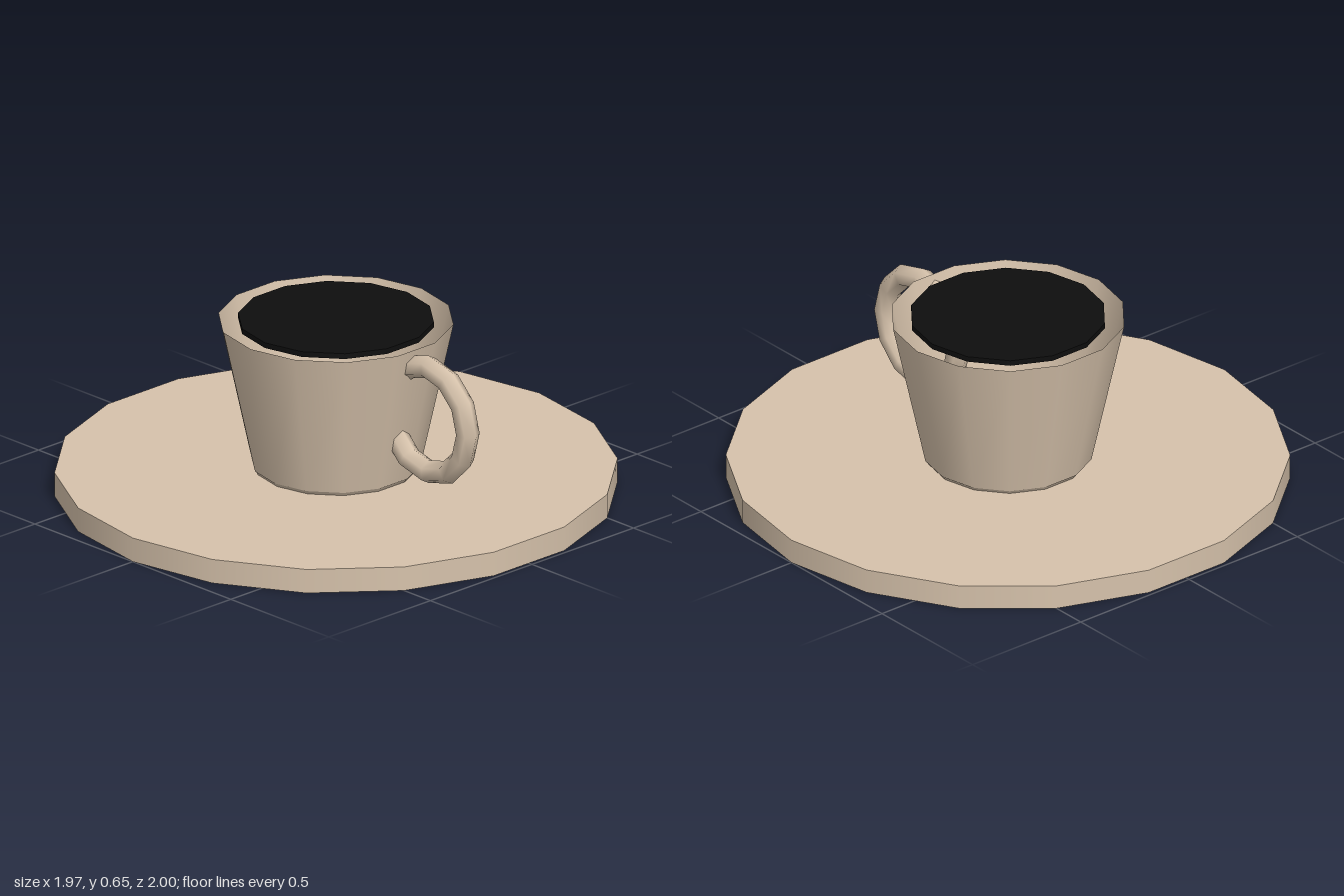
import * as THREE from 'three';

export function createModel() {
  const model = new THREE.Group();
  model.name = 'cupAndSaucer';

  const ceramic = new THREE.MeshStandardMaterial({ color: 0xd6c2ab, side: THREE.DoubleSide });
  ceramic.name = 'beige ceramic';
  const coffee = new THREE.MeshStandardMaterial({ color: 0x0e0e0e });
  coffee.name = 'black coffee';

  const add = (name, geometry, material, x, y) => {
    const mesh = new THREE.Mesh(geometry, material);
    mesh.name = name;
    mesh.position.set(x, y, 0);
    model.add(mesh);
  };

  // Upright round part between two heights
  const round = (name, rTop, rBottom, y0, y1, sides, material, open = false) =>
    add(name, new THREE.CylinderGeometry(rTop, rBottom, y1 - y0, sides, 1, open),
      material, 0, (y0 + y1) / 2);

  // Flat saucer
  round('saucer', 1, 1, 0, 0.09, 18, ceramic);

  // Cup: low foot ring, then thin tapered wall open at the top
  round('cupFoot', 0.3, 0.29, 0.09, 0.105, 14, ceramic);
  round('cupWall', 0.42, 0.302, 0.105, 0.65, 14, ceramic, true);

  // Thin disc of drink, level with the rim
  round('coffeeSurface', 0.35, 0.35, 0.635, 0.655, 14, coffee);

  // Ring handle sunk into the cup's left side
  add('handle', new THREE.TorusGeometry(0.2, 0.043, 6, 12), ceramic, 0.473, 0.402);

  return model;
}
